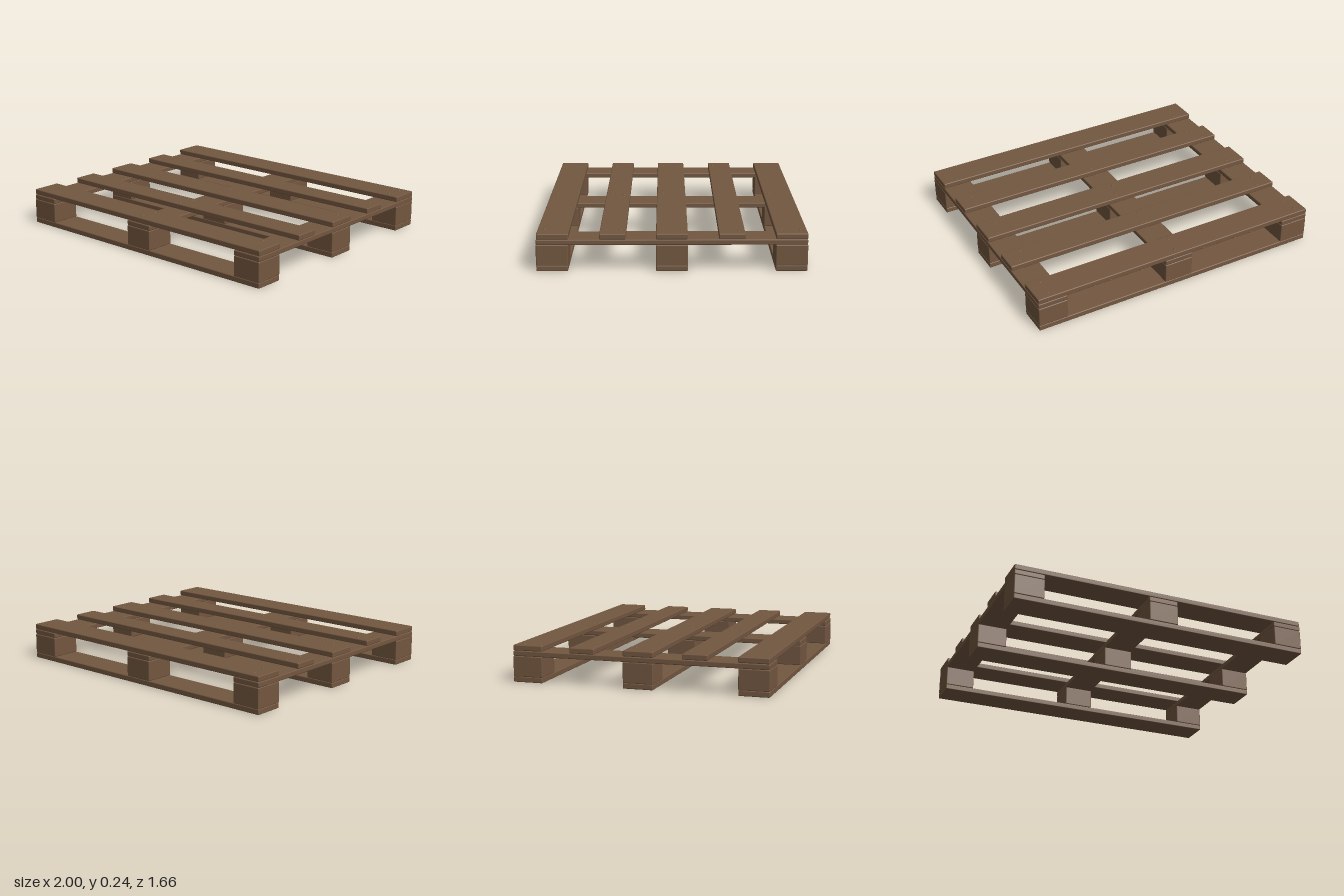
import * as THREE from 'three';
import { RoundedBoxGeometry } from 'three/addons/geometries/RoundedBoxGeometry.js';

export function createModel() {
  const pallet = new THREE.Group();
  pallet.name = 'pallet';
  const wood = new THREE.MeshStandardMaterial({ name: 'brown wood', color: 0x735740 });

  // Timber with slightly eased edges, placed by its centre
  function timber(name, [w, h, d], [x, y, z]) {
    const mesh = new THREE.Mesh(new RoundedBoxGeometry(w, h, d, 2, 0.006), wood);
    mesh.name = name;
    mesh.position.set(x, y, z);
    pallet.add(mesh);
  }

  // Small repeatable offsets for hand-driven nails
  let seed = 7;
  const jitter = (amount) => {
    seed = (seed * 16807) % 2147483647;
    return (seed / 2147483647 - 0.5) * 2 * amount;
  };

  const columns = [-0.9, 0, 0.9];
  const rows = [-0.733, 0, 0.733];

  // Bottom boards and the blocks standing on them
  for (const z of rows) {
    timber('bottomBoard', [1.996, 0.036, 0.195], [0, 0.022, z]);
    for (const x of columns) timber('block', [0.197, 0.132, 0.197], [x, 0.105, z]);
  }

  // Stringer boards running front to back
  for (const x of columns) timber('stringerBoard', [0.197, 0.034, 1.66], [x, 0.188, 0]);

  // Deck boards: wide at the ends and middle, narrow between
  const deck = [[-0.733, 0.195], [-0.368, 0.162], [0, 0.195], [0.363, 0.162], [0.73, 0.195]];
  const nailGeometry = new THREE.SphereGeometry(0.008, 8, 4, 0, Math.PI * 2, 0, Math.PI / 2);
  for (const [z, depth] of deck) {
    timber('deckBoard', [1.996, 0.036, depth], [0, 0.224, z]);
    // Two nail heads over each stringer
    for (const x of columns) {
      for (const side of [-1, 1]) {
        const nail = new THREE.Mesh(nailGeometry, wood);
        nail.name = 'nailHead';
        nail.scale.y = 0.6;
        nail.position.set(x + jitter(0.03), 0.2418, z + side * depth * 0.29 + jitter(0.01));
        pallet.add(nail);
      }
    }
  }

  return pallet;
}
